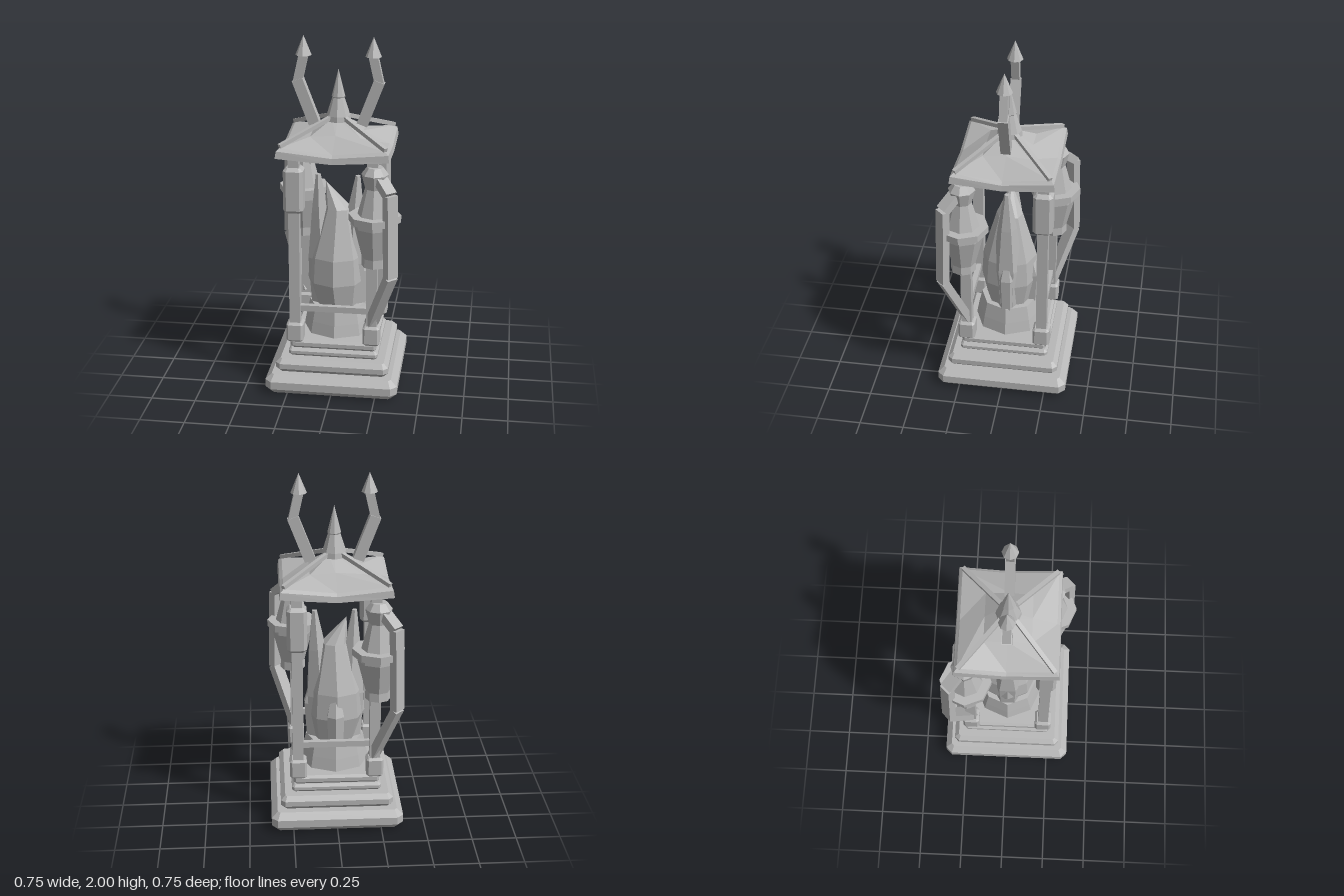
import * as THREE from 'three';

const stone = new THREE.MeshStandardMaterial({ color: 0xb8b8b8, flatShading: true });
stone.name = 'grey stone';

function add(parent, name, geometry, x = 0, y = 0, z = 0) {
  const mesh = new THREE.Mesh(geometry, stone);
  mesh.name = name;
  mesh.position.set(x, y, z);
  parent.add(mesh);
  return mesh;
}

// Square block with every edge cut; it stands on y = 0
function cutBlock(w, h, c) {
  const a = w / 2 - c, k = a - 0.42 * c;
  const shape = new THREE.Shape([
    [a, -k], [a, k], [k, a], [-k, a], [-a, k], [-a, -k], [-k, -a], [k, -a],
  ].map(([x, y]) => new THREE.Vector2(x, y)));
  const g = new THREE.ExtrudeGeometry(shape, {
    depth: h - 2 * c, bevelEnabled: true, bevelSize: c, bevelThickness: c, bevelSegments: 1,
  });
  return g.translate(0, 0, c).rotateX(-Math.PI / 2);
}

// Faceted solid from [radius, y, offsetX, offsetZ] rings, bottom to top
function faceted(rings, sides) {
  const g = new THREE.LatheGeometry(rings.map(([r, y]) => new THREE.Vector2(r, y)), sides);
  const p = g.attributes.position;
  for (let i = 0; i < p.count; i++) {
    const [, , ox = 0, oz = 0] = rings[i % rings.length];
    p.setX(i, p.getX(i) + ox);
    p.setZ(i, p.getZ(i) + oz);
  }
  g.computeVertexNormals();
  return g;
}

// Square bar from a to b; "up" sets its roll
function bar(parent, name, a, b, w, h, up) {
  const A = new THREE.Vector3(...a), B = new THREE.Vector3(...b);
  const mesh = new THREE.Mesh(new THREE.BoxGeometry(w, h, A.distanceTo(B)), stone);
  mesh.name = name;
  mesh.up.set(...up);
  mesh.position.copy(A).add(B).multiplyScalar(0.5);
  mesh.lookAt(B);
  parent.add(mesh);
}

// Roof: eight-point rings whose corners turn up and whose sides sag
function roofGeometry() {
  // [scale, corner height, mid-side height]
  const rings = [
    [0, 1.37, 1.37], [0.93, 1.375, 1.36], [1, 1.38, 1.358], [0.98, 1.42, 1.39],
    [0.92, 1.435, 1.405], [0.45, 1.465, 1.475], [0.1, 1.545, 1.545], [0, 1.55, 1.55],
  ];
  const g = new THREE.LatheGeometry(rings.map(([s, y]) => new THREE.Vector2(s, y)), 8);
  const p = g.attributes.position;
  for (let i = 0; i < p.count; i++) {
    const [s, corner, mid] = rings[i % rings.length];
    const step = Math.floor(i / rings.length);
    const t = step * Math.PI / 4;
    const x = Math.round(Math.sin(t)), z = Math.round(Math.cos(t));
    p.setXYZ(i, x * s * 0.31, step % 2 ? corner : mid, z * s * 0.285);
  }
  g.computeVertexNormals();
  return g;
}

// Lantern wrapped round a post, with its bent bracket on the outer diagonal
function lantern() {
  const g = new THREE.Group();
  g.name = 'lantern';
  add(g, 'lanternBody', faceted([
    [0, 0.77], [0.072, 0.77], [0.07, 0.82], [0.115, 1.0], [0.115, 1.03], [0.145, 1.03],
    [0.145, 1.07], [0.095, 1.07], [0.055, 1.22], [0.075, 1.3], [0.045, 1.34], [0, 1.34],
  ], 8), 0.23, 0, 0.23);
  const path = [[0.215, 0.41], [0.33, 0.74], [0.32, 1.21], [0.225, 1.32]];
  for (let i = 0; i < 3; i++) {
    const [d, y] = path[i], [e, v] = path[i + 1];
    bar(g, 'lanternBracket', [d, y, d], [e, v, e], 0.045, 0.07, [1, 0, -1]);
  }
  return g;
}

export function createModel() {
  const model = new THREE.Group();
  model.name = 'shrine';

  // Stepped base: [width, bottom, height, edge cut]
  for (const [w, y, h, c] of [
    [0.75, 0, 0.115, 0.035], [0.64, 0.115, 0.08, 0.025],
    [0.51, 0.195, 0.045, 0.014], [0.49, 0.24, 0.05, 0.014],
  ]) add(model, 'baseStep', cutBlock(w, h, c), 0, y, 0);

  // Corner posts
  for (const sx of [-1, 1]) for (const sz of [-1, 1]) {
    const x = sx * 0.217, z = sz * 0.217;
    add(model, 'post', new THREE.BoxGeometry(0.06, 1.09, 0.06), x, 0.825, z);
    add(model, 'postFoot', cutBlock(0.096, 0.115, 0.012), x, 0.285, z);
    if (sx !== sz) add(model, 'postHead', cutBlock(0.11, 0.26, 0.018), x, 1.06, z);
  }

  // Rails along the front and the back
  for (const z of [-0.217, 0.217])
    add(model, 'rail', new THREE.BoxGeometry(0.38, 0.035, 0.03), 0, 0.485, z);

  // Lanterns on two opposite corners
  for (const turn of [0, Math.PI]) {
    const l = lantern();
    l.rotation.y = turn;
    model.add(l);
  }

  // Crystal cluster on its pedestal
  add(model, 'pedestal', faceted([[0, 0.28], [0.2, 0.28], [0.185, 0.36], [0.165, 0.45], [0, 0.45]], 8));
  add(model, 'mainCrystal', faceted([
    [0, 0.44], [0.13, 0.44], [0.165, 0.59, -0.01], [0.155, 0.74, -0.01],
    [0.075, 1.02, 0], [0, 1.17, -0.07],
  ], 8));
  add(model, 'leftSpire', faceted([
    [0, 0.44, 0.08], [0.07, 0.44, 0.08], [0.085, 0.7, 0.08], [0.055, 0.98, 0.095],
    [0.015, 1.21, 0.11], [0, 1.21, 0.11],
  ], 6));
  add(model, 'rightSpire', faceted([
    [0, 0.44, -0.08], [0.08, 0.44, -0.08], [0.095, 0.72, -0.085], [0.05, 1.0, -0.105],
    [0.015, 1.21, -0.115], [0, 1.21, -0.115],
  ], 6));
  add(model, 'sideShard', faceted([
    [0, 0.44, 0.12], [0.045, 0.44, 0.12], [0.055, 0.65, 0.125], [0, 0.84, 0.12],
  ], 6));
  add(model, 'backShard', faceted([
    [0, 0.44, 0, -0.13], [0.05, 0.44, 0, -0.13], [0.055, 0.62, 0, -0.135], [0, 0.86, 0, -0.09],
  ], 6));

  // Roof and its four ridge bars
  add(model, 'roof', roofGeometry());
  for (const sx of [-1, 1]) for (const sz of [-1, 1])
    bar(model, 'roofRidge', [sx * 0.03, 1.555, sz * 0.028], [sx * 0.288, 1.443, sz * 0.258],
      0.024, 0.022, [0, 1, 0]);

  // Central spire
  add(model, 'spire', faceted([
    [0, 1.53], [0.07, 1.53], [0.066, 1.56], [0.034, 1.66], [0.038, 1.665], [0, 1.82],
  ], 8));

  // Bent horns with pointed tips
  for (const s of [-1, 1]) {
    bar(model, 'hornLower', [s * 0.133, 1.51, 0], [s * 0.226, 1.755, 0], 0.062, 0.054, [0, 0, 1]);
    bar(model, 'hornUpper', [s * 0.226, 1.74, 0], [s * 0.19, 1.9, 0], 0.05, 0.044, [0, 0, 1]);
    add(model, 'hornTip', new THREE.ConeGeometry(0.045, 0.11, 8), s * 0.192, 1.945, 0);
  }
  return model;
}
